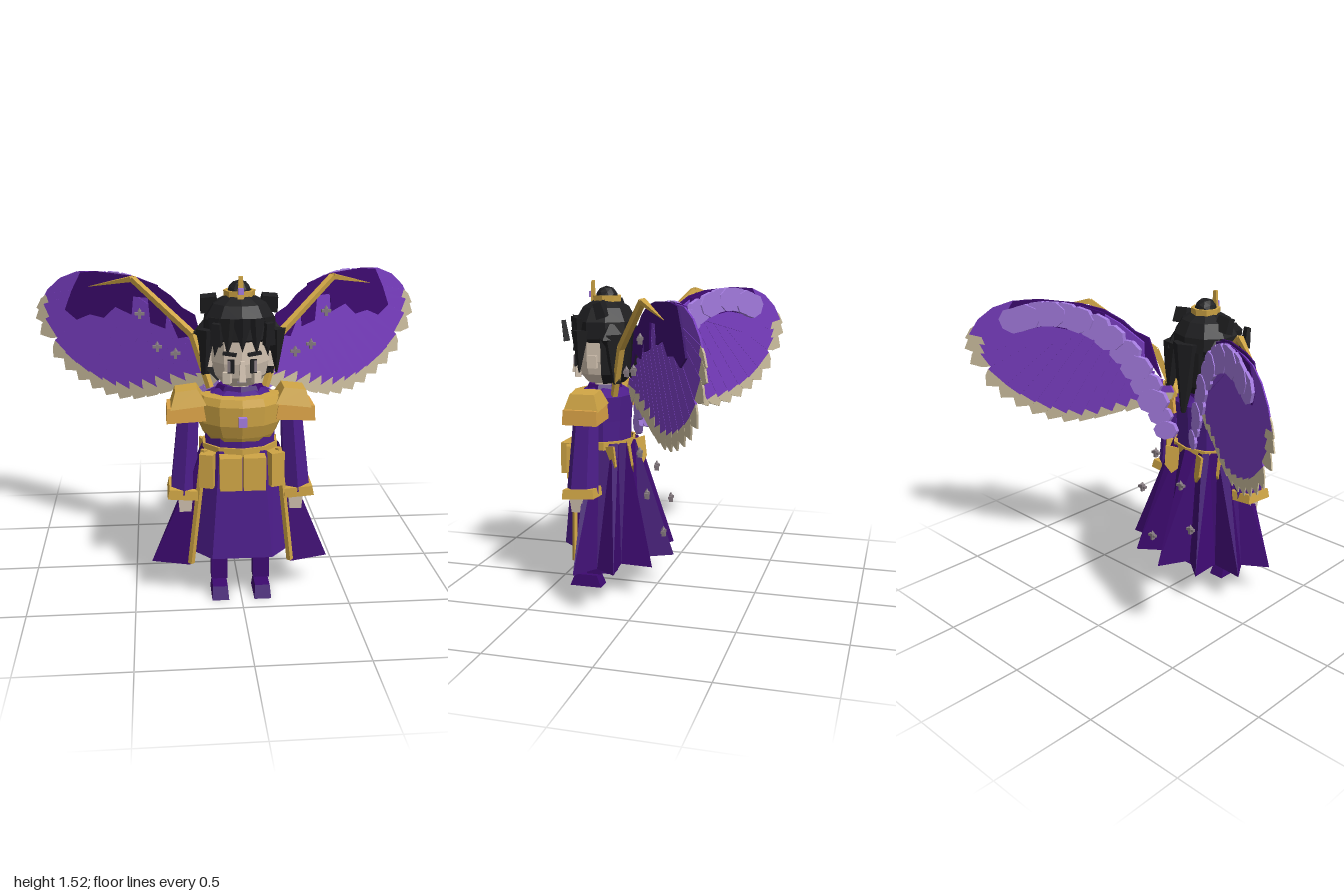
import * as THREE from 'three';

const mat = (name, color) => new THREE.MeshStandardMaterial({ name, color, flatShading: true, side: THREE.DoubleSide });
const V = (x, y, z) => new THREE.Vector3(x, y, z);

export function createModel() {
  const dark = mat('darkPurple', 0x3d0a70), coat = mat('coatPurple', 0x4c1d8a), violet = mat('featherViolet', 0x7b3fc4),
    lilac = mat('lilac', 0xa27add), gold = mat('gold', 0xcfa545), amber = mat('amber', 0xdba347),
    skin = mat('skin', 0xd6c6b4), black = mat('hairBlack', 0x1e1e20), ivory = mat('ivory', 0xcdbf9f), grey = mat('grey', 0x857a80);
  const root = new THREE.Group();
  root.name = 'wingedFigure';

  const add = (name, geo, m, x = 0, y = 0, z = 0, rx = 0, ry = 0, rz = 0) => {
    const mesh = new THREE.Mesh(geo, m);
    mesh.name = name;
    mesh.position.set(x, y, z);
    mesh.rotation.set(rx, ry, rz);
    root.add(mesh);
    return mesh;
  };
  const box = (w, h, d) => new THREE.BoxGeometry(w, h, d);
  // box with a narrower or wider top
  const taper = (w, h, d, tw, td) => {
    const g = box(w, h, d), p = g.attributes.position;
    for (let i = 0; i < p.count; i++) if (p.getY(i) > 0) { p.setX(i, p.getX(i) * tw / w); p.setZ(i, p.getZ(i) * td / d); }
    return g;
  };
  // straight member between two points
  const bar = (name, a, b, w0, w1, m, sides = 4) => {
    const d = b.clone().sub(a);
    const mesh = add(name, new THREE.CylinderGeometry(w1, w0, d.length(), sides), m);
    mesh.position.copy(a).addScaledVector(d, 0.5);
    mesh.quaternion.setFromUnitVectors(V(0, 1, 0), d.normalize());
    return mesh;
  };
  const lathe = (pts, seg, zs, start = 0, len = Math.PI * 2) =>
    new THREE.LatheGeometry(pts.map(p => new THREE.Vector2(...p)), seg, start, len).scale(1, 1, zs);
  // strip of quads between two rows of points
  const strip = (top, bottom) => {
    const idx = [];
    for (let i = 0; i < top.length - 1; i++) {
      const n = top.length;
      idx.push(i, n + i, i + 1, i + 1, n + i, n + i + 1);
    }
    const g = new THREE.BufferGeometry().setFromPoints([...top, ...bottom]);
    g.setIndex(idx);
    g.computeVertexNormals();
    return g;
  };
  // thin plate lying in the swept-back plane of a wing on side s
  const plate = (name, pts, s, off, t, m) => {
    const shape = new THREE.Shape(pts.map(([x, y]) => new THREE.Vector2(x * s, y)));
    const g = new THREE.ExtrudeGeometry(shape, { depth: t, bevelEnabled: false });
    g.applyMatrix4(new THREE.Matrix4().set(1, 0, 0, 0, 0, 1, 0, 0, -0.63 * s, 0, 1, 0.16 + off, 0, 0, 0, 1));
    return add(name, g, m);
  };
  const PI = Math.PI;

  // torso, collar and neck
  add('torso', lathe([[0.15, 0.55], [0.165, 0.75], [0.17, 0.85], [0.18, 0.97], [0.1, 1.01], [0, 1.01]], 10, 0.78), coat, 0, 0, 0.27);
  add('collar', lathe([[0.13, 0.97], [0.1, 1.025], [0.06, 1.01]], 8, 0.8), dark, 0, 0, 0.27);
  add('neck', new THREE.CylinderGeometry(0.04, 0.045, 0.09, 6), skin, 0, 1.03, 0.28);

  // breastplate and gem
  add('breastplate', lathe([[0.15, 0.77], [0.17, 0.8], [0.197, 0.86], [0.205, 0.95], [0.19, 0.985], [0.13, 0.99]], 6, 0.82, -PI / 2, PI), gold, 0, 0, 0.27);
  add('chestGem', box(0.038, 0.042, 0.03), lilac, 0, 0.89, 0.445);

  // belt, pouches and rear tabs
  add('belt', lathe([[0.168, 0.715], [0.18, 0.715], [0.18, 0.755], [0.168, 0.755]], 10, 0.85), gold, 0, 0, 0.27);
  const tabShape = new THREE.Shape([[-0.045, 0.07], [0.045, 0.07], [0.04, -0.03], [0, -0.07], [-0.04, -0.03]].map(p => new THREE.Vector2(...p)));
  for (const s of [-1, 1]) {
    add('frontPouch', box(0.1, 0.155, 0.07), gold, s * 0.054, 0.65, 0.435);
    add('sidePouch', box(0.065, 0.16, 0.1), gold, s * 0.148, 0.65, 0.37, 0, s * 0.35, 0);
    for (const a of [0.5, 1.15]) {
      add('rearTab', new THREE.ExtrudeGeometry(tabShape, { depth: 0.012, bevelEnabled: false }), gold,
        s * Math.sin(a) * 0.17, 0.665, 0.27 - Math.cos(a) * 0.18, 0.15, s * a, 0);
    }
  }

  // apron
  const apron = (y, w, z0, z1) => [V(-w, y, z0), V(-w * 0.65, y, z1), V(w * 0.65, y, z1), V(w, y, z0)];
  add('apron', strip(apron(0.74, 0.155, 0.33, 0.4), apron(0.225, 0.215, 0.35, 0.44)), coat);

  // pleated coat tails: each top corner falls to a spike or a fold
  const half = [[0.24, 0.355, 0.17, 0.36], [0.42, 0.3, 0.18, 0.3], [0.3, 0.22, 0.165, 0.25], [0.37, 0.115, 0.15, 0.19],
    [0.2, 0.13, 0.12, 0.165], [0.21, -0.03, 0.1, 0.13], [0.08, 0.07, 0.06, 0.14]];
  const rows = [...half, [0, -0.085, 0, 0.115], ...half.map(([a, b, c, d]) => [-a, b, -c, d]).reverse()];
  add('coatTails', strip(rows.map(r => V(r[2], 0.745, r[3])), rows.map(r => V(r[0], 0.16, r[1]))), dark);
  add('innerSkirt', lathe([[0.14, 0.7], [0.19, 0.24]], 10, 0.7), dark, 0, 0, 0.28);

  for (const s of [-1, 1]) {
    // coat trim
    bar('coatTrim', V(s * 0.235, 0.17, 0.355), V(s * 0.17, 0.74, 0.365), 0.016, 0.016, gold);

    // legs and shoes
    add('leg', box(0.078, 0.5, 0.074), dark, s * 0.1, 0.32, 0.293);
    add('shoe', taper(0.08, 0.06, 0.164, 0.07, 0.115), dark, s * 0.1, 0.03, 0.338);

    // shoulder guards
    add('shoulderGuardTop', taper(0.165, 0.075, 0.17, 0.1, 0.12), gold, s * 0.242, 0.975, 0.285, 0, 0, s * -0.12);
    add('shoulderGuardRim', taper(0.18, 0.07, 0.17, 0.165, 0.165), amber, s * 0.25, 0.905, 0.285, 0, 0, s * -0.05);

    // arms, cuffs and hands
    const arm = bar('sleeve', V(s * 0.265, 0.52, 0.3), V(s * 0.235, 0.92, 0.285), 0.08, 0.062, coat, 6);
    arm.scale.x = 0.85;
    add('cuff', taper(0.14, 0.045, 0.16, 0.13, 0.15), gold, s * 0.268, 0.528, 0.3, 0.08, 0, s * 0.08);
    add('hand', taper(0.055, 0.09, 0.05, 0.07, 0.07), skin, s * 0.258, 0.475, 0.325);
  }

  // head and face
  add('head', lathe([[0, 1.03], [0.08, 1.03], [0.12, 1.075], [0.135, 1.14], [0.135, 1.3]], 10, 0.92), skin, 0, 0, 0.28);
  add('nose', taper(0.03, 0.09, 0.04, 0.02, 0.02), skin, 0, 1.115, 0.415);
  add('mouth', box(0.045, 0.008, 0.008), grey, 0, 1.06, 0.392);
  for (const s of [-1, 1]) {
    add('eye', box(0.03, 0.062, 0.008), black, s * 0.05, 1.135, 0.403, 0, s * 0.25, 0);
    add('eyeGlint', box(0.012, 0.05, 0.008), grey, s * 0.058, 1.135, 0.406, 0, s * 0.25, 0);
    add('brow', box(0.06, 0.014, 0.02), black, s * 0.055, 1.19, 0.4, 0, s * 0.25, s * 0.1);
    add('cheek', box(0.035, 0.05, 0.03), skin, s * 0.065, 1.08, 0.385, 0, s * 0.4, 0);
    add('ear', box(0.03, 0.06, 0.045), skin, s * 0.14, 1.14, 0.285);
  }

  // hair: cap, back, locks and tail
  add('hairCap', lathe([[0.14, 1.23], [0.168, 1.25], [0.165, 1.33], [0.125, 1.395], [0.06, 1.43], [0, 1.435]], 10, 0.93), black, 0, 0, 0.26);
  add('hairBack', lathe([[0.1, 1.03], [0.15, 1.08], [0.168, 1.26]], 6, 0.93, PI / 2 + 0.15, PI - 0.3), black, 0, 0, 0.26);
  bar('ponytail', V(0, 0.95, 0.1), V(0, 1.3, 0.13), 0.012, 0.075, black, 6);
  for (let i = -2; i <= 2; i++) {
    const a = i * 0.42;
    bar('fringeLock', V(Math.sin(a) * 0.16, 1.2 - Math.abs(i) * 0.015, 0.265 + Math.cos(a) * 0.155), V(Math.sin(a) * 0.135, 1.34, 0.26 + Math.cos(a) * 0.125), 0, 0.05, black, 5);
  }
  for (const s of [-1, 1]) {
    bar('sideLock', V(s * 0.16, 1.09, 0.345), V(s * 0.155, 1.29, 0.34), 0.004, 0.045, black, 4);
    bar('backLock', V(s * 0.15, 1.04, 0.16), V(s * 0.13, 1.27, 0.18), 0.02, 0.06, black, 5);
    bar('sideTuft', V(s * 0.205, 1.25, 0.21), V(s * 0.12, 1.26, 0.2), 0.004, 0.08, black, 4);
    add('hairTie', taper(0.085, 0.075, 0.05, 0.07, 0.04), black, s * 0.135, 1.39, 0.24, 0.3, 0, s * -0.1);
    add('loosePiece', taper(0.05, 0.1, 0.03, 0.035, 0.02), black, s * 0.115, 1.285, 0.43, 0.15, s * 0.4, 0);
  }

  // topknot and crown
  add('topknot', new THREE.IcosahedronGeometry(0.055, 1), black, 0, 1.44, 0.255);
  add('crown', lathe([[0.055, 1.395], [0.068, 1.395], [0.072, 1.45], [0.058, 1.45]], 8, 1), gold, 0, 0, 0.255);
  add('crownProng', taper(0.03, 0.1, 0.016, 0.018, 0.012), gold, 0, 1.47, 0.325);
  add('crownGem', box(0.024, 0.028, 0.012), lilac, 0, 1.455, 0.336);

  // wings
  const curve = pts => new THREE.CatmullRomCurve3(pts.map(([x, y]) => V(x, y, 0)));
  const bases = curve([[0.66, 1.35], [0.48, 1.36], [0.3, 1.25], [0.14, 1.06]]);
  const tips = curve([[0.985, 1.25], [0.99, 1.16], [0.9, 0.99], [0.8, 0.91], [0.69, 0.855], [0.58, 0.83], [0.47, 0.845], [0.37, 0.885], [0.25, 0.92], [0.13, 0.95]]);
  const arch = curve([[0.74, 1.36], [0.62, 1.4], [0.5, 1.395], [0.36, 1.33], [0.23, 1.18], [0.15, 1.0], [0.09, 0.84]]);
  for (const s of [-1, 1]) {
    // flight feathers, each with a pale tip
    const n = 15;
    for (let i = 0; i < n; i++) {
      const b = bases.getPoint(i / (n - 1)), t = tips.getPoint(i / (n - 1));
      const d = t.clone().sub(b), len = d.length();
      d.normalize();
      const at = (k, w) => [b.x + d.x * k - d.y * w, b.y + d.y * k + d.x * w];
      const off = -0.005 + i * 0.0009, k = len - 0.075;
      plate('flightFeather', [at(0, -0.045), at(k, -0.055), at(k, 0.055), at(0, 0.045)], s, off, 0.008, violet);
      plate('featherTip', [at(k, -0.055), at(len - 0.04, -0.04), at(len, 0), at(len - 0.04, 0.04), at(k, 0.055)], s, off, 0.008, ivory);
    }
    // wing top and dark front coverts
    plate('wingTop', [[0.2, 1.28], [0.3, 1.37], [0.38, 1.42], [0.48, 1.45], [0.66, 1.46], [0.76, 1.455], [0.85, 1.415], [0.92, 1.35], [0.965, 1.27], [0.7, 1.22], [0.45, 1.3], [0.2, 1.1]], s, -0.006, 0.008, violet);
    plate('frontCoverts', [[0.14, 1.1], [0.19, 1.3], [0.25, 1.33], [0.3, 1.38], [0.38, 1.43], [0.48, 1.455], [0.66, 1.465], [0.74, 1.455], [0.79, 1.36], [0.83, 1.26], [0.77, 1.215], [0.7, 1.25], [0.63, 1.24], [0.57, 1.3], [0.49, 1.27], [0.48, 1.36], [0.41, 1.36], [0.4, 1.24], [0.33, 1.22], [0.32, 1.3], [0.27, 1.18], [0.2, 1.2]], s, 0.013, 0.009, dark);
    plate('rearCoverts', [[0.36, 1.42], [0.48, 1.455], [0.66, 1.463], [0.75, 1.455], [0.8, 1.36], [0.78, 1.3], [0.6, 1.34], [0.36, 1.3]], s, -0.016, 0.009, dark);
    // overlapping rear scales
    for (let i = 0; i < 14; i++) {
      const p = arch.getPoint(i / 13), q = arch.getTangent(i / 13);
      const r = i > 11 ? 0.05 : 0.066, pts = [];
      for (let j = 0; j < 8; j++) {
        const a = (j + 0.5) * PI / 4, u = Math.cos(a) * r, w = Math.sin(a) * r;
        pts.push([p.x + q.x * u - q.y * w, p.y + q.y * u + q.x * w]);
      }
      plate('rearScale', pts, s, -0.034 - (i % 2) * 0.006, 0.02, lilac);
    }
    // golden leading edge
    const edge = [V(s * 0.13, 0.98, 0.18), V(s * 0.205, 1.22, 0.12), V(s * 0.48, 1.455, -0.065), V(s * 0.7, 1.395, -0.22)];
    bar('leadingEdge', edge[0], edge[1], 0.018, 0.02, gold);
    bar('leadingEdge', edge[1], edge[2], 0.02, 0.018, gold);
    bar('leadingEdgeSpike', edge[2], edge[3], 0.018, 0.001, gold);
  }

  // floating sparkles
  const sparks = [[0.14, 0.71, 0.05], [-0.06, 0.6, 0.02], [0.19, 0.52, 0], [-0.17, 0.41, -0.025], [0.07, 0.3, -0.05]];
  for (const s of [-1, 1]) sparks.push([s * 0.45, 1.29, -0.045], [s * 0.37, 1.14, 0.01], [s * 0.285, 1.12, 0.07]);
  for (const [x, y, z] of sparks) {
    add('sparkle', box(0.014, 0.036, 0.02), grey, x, y - 0.006, z);
    add('sparkle', box(0.046, 0.013, 0.018), grey, x, y, z);
    add('sparkle', new THREE.ConeGeometry(0.011, 0.018, 4), grey, x, y + 0.02, z);
  }
  return root;
}
